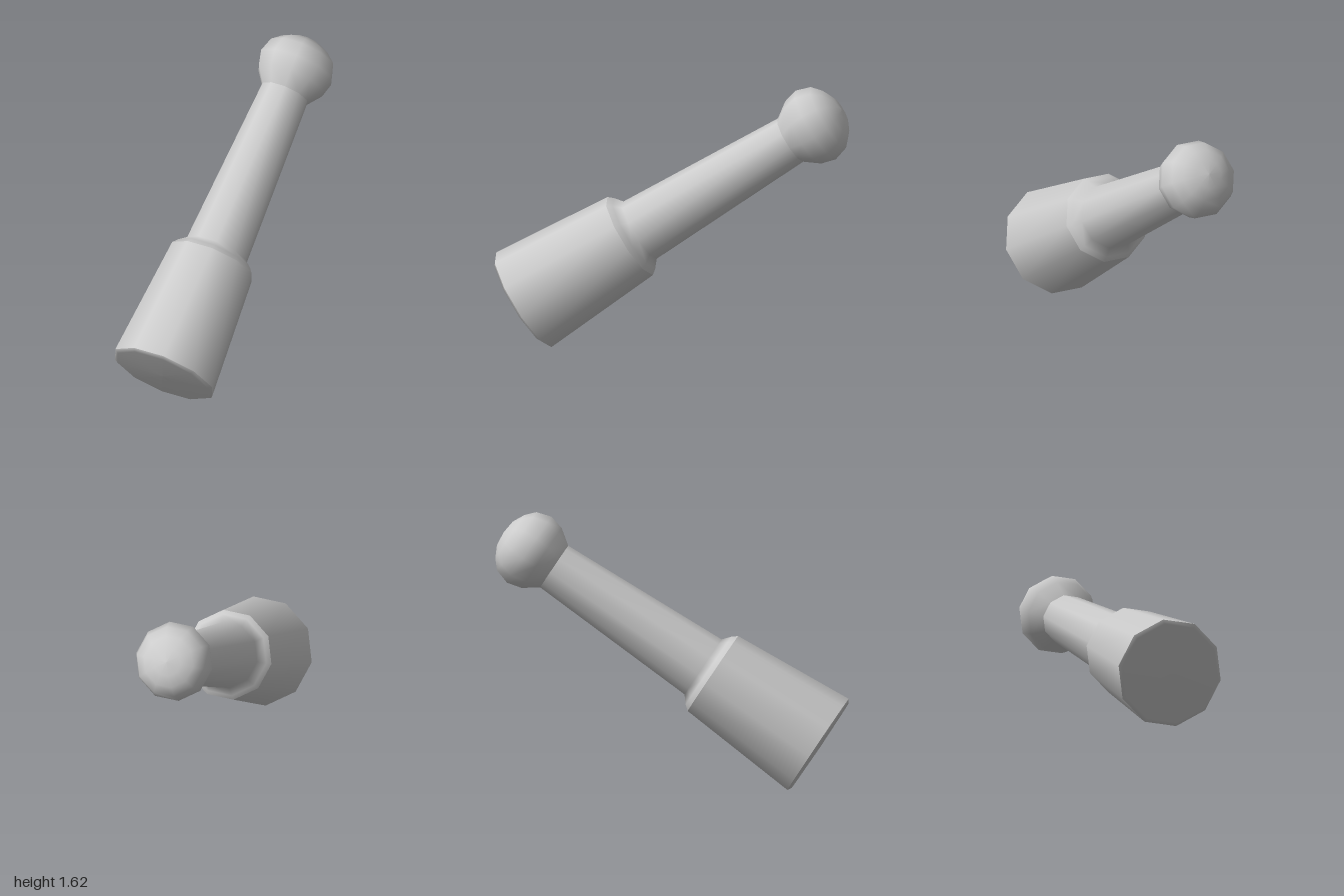
import * as THREE from 'three';

// Faceted, smooth-shaded turned club lying along a tilted axis
const SIDES = 10;
const PHASE = -0.14;
const material = new THREE.MeshStandardMaterial({ color: 0xcccccc });

// Turned section from [radius, distance along axis] pairs
function turned(name, profile) {
  const points = profile.map(([r, t]) => new THREE.Vector2(r, t));
  const mesh = new THREE.Mesh(new THREE.LatheGeometry(points, SIDES, PHASE), material);
  mesh.name = name;
  return mesh;
}

export function createModel() {
  const club = new THREE.Group();
  club.name = 'club';

  // Wide tapered head with a softly bevelled striking face
  club.add(turned('headFace', [[0, -0.02], [0.305, -0.015], [0.328, 0]]));
  club.add(turned('head', [[0.328, 0], [0.27, 0.757]]));

  // Rounded shoulder running into the tapered handle
  club.add(turned('handle', [[0.27, 0.757], [0.245, 0.788], [0.198, 0.828], [0.15, 1.9]]));

  // Knob at the end of the handle
  club.add(turned('knob', [
    [0.15, 1.9], [0.215, 1.99], [0.238, 2.08], [0.21, 2.17],
    [0.155, 2.22], [0.085, 2.255], [0, 2.265],
  ]));

  // Lean the axis up, back and to the left
  const axis = new THREE.Vector3(0.342, 0.545, -0.765).normalize();
  club.quaternion.setFromUnitVectors(new THREE.Vector3(0, 1, 0), axis);
  club.position.set(-0.31, 0.275, 0.79);

  const model = new THREE.Group();
  model.name = 'model';
  model.add(club);
  return model;
}
